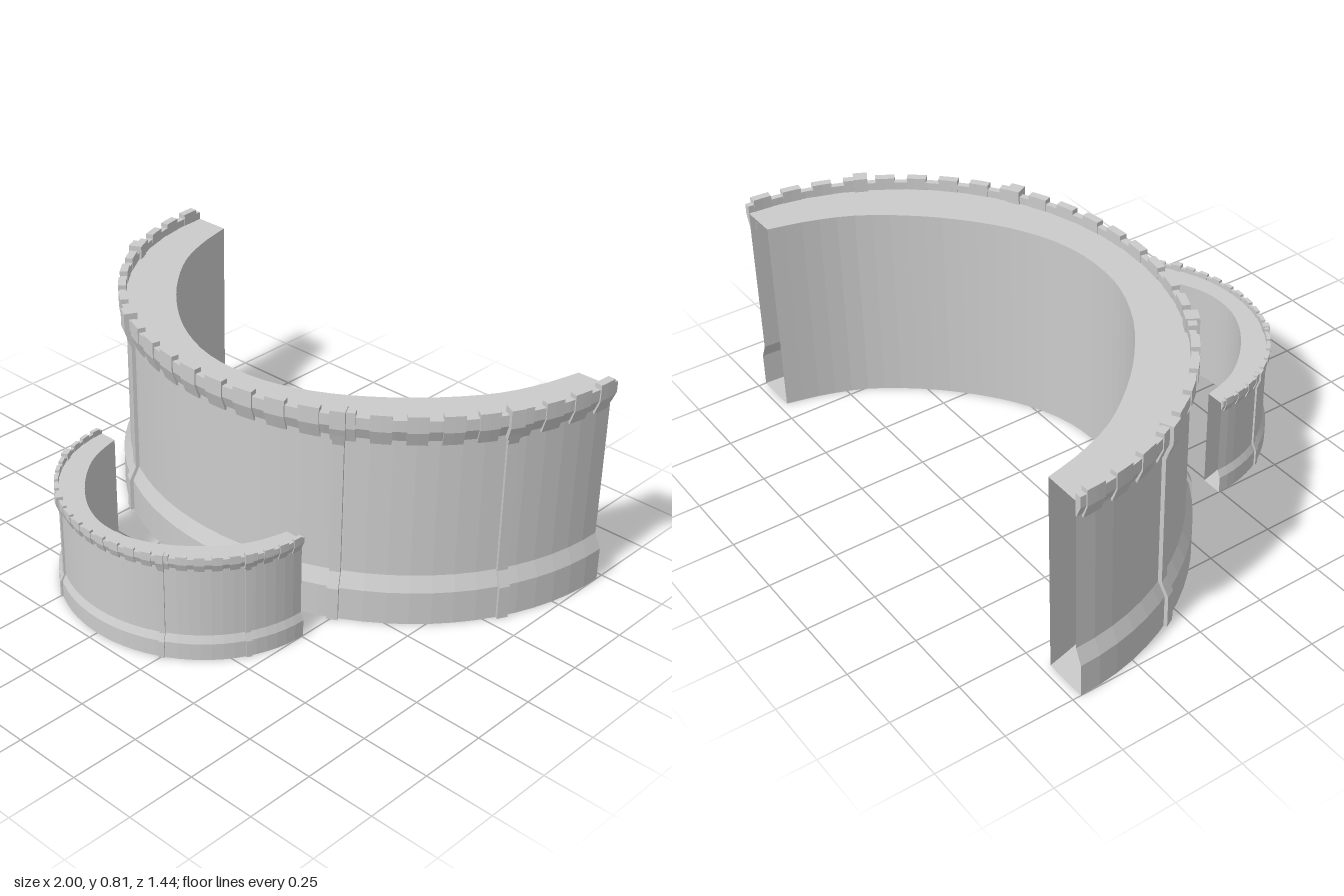
import * as THREE from 'three';

const END_Z = -0.72, RX = 1, RZ = 0.945;
const material = new THREE.MeshStandardMaterial({ color: 0xcccccc, flatShading: true, side: THREE.DoubleSide });

// Point on the outer half ellipse at angle t, pushed out along its normal by off
function outerPoint(t, off, y) {
  const n = new THREE.Vector2(Math.cos(t) / RX, Math.sin(t) / RZ).normalize();
  return new THREE.Vector3(RX * Math.cos(t) + n.x * off, y, END_Z + RZ * Math.sin(t) + n.y * off);
}

// Joins closed cross-section rings into a surface; capTris closes both ends
function loft(name, rings, capTris = []) {
  const pos = [];
  const tri = (a, b, c) => pos.push(...a, ...b, ...c);
  for (let i = 0; i < rings.length - 1; i++) {
    const r = rings[i], s = rings[i + 1];
    for (let j = 0; j < r.length; j++) {
      const k = (j + 1) % r.length;
      tri(r[j], r[k], s[k]);
      tri(r[j], s[k], s[j]);
    }
  }
  const first = rings[0], last = rings[rings.length - 1];
  for (const [a, b, c] of capTris) {
    tri(first[a], first[c], first[b]);
    tri(last[a], last[b], last[c]);
  }
  const geo = new THREE.BufferGeometry();
  geo.setAttribute('position', new THREE.Float32BufferAttribute(pos, 3));
  geo.computeVertexNormals();
  const mesh = new THREE.Mesh(geo, material);
  mesh.name = name;
  return mesh;
}

// Sweeps an [offset, height] profile along the outer curve from t0 to t1
function sweep(name, profile, t0, t1, segments) {
  const rings = [];
  for (let i = 0; i <= segments; i++) {
    const t = t0 + (t1 - t0) * i / segments;
    rings.push(profile.map(([off, y]) => outerPoint(t, off, y)));
  }
  const caps = THREE.ShapeUtils.triangulateShape(profile.map(([x, y]) => new THREE.Vector2(x, y)), []);
  return loft(name, rings, caps);
}

function createWall(name) {
  const wall = new THREE.Group();
  wall.name = name;

  // Hollow curved body with open ends, flared foot and flat walkway
  const half = [[0.84, -0.72], [0.805, -0.58], [0.743, -0.43], [0.63, -0.275],
    [0.5, -0.145], [0.337, -0.027], [0.16, 0.048]];
  const path = [...half, [0, 0.067], ...half.map(([x, z]) => [-x, z]).reverse()];
  const inner = new THREE.CatmullRomCurve3(path.map(([x, z]) => new THREE.Vector3(x, 0, z)));
  const face = [[0, 0], [0, 0.125], [-0.025, 0.18], [-0.025, 0.755]];
  const rings = [], N = 40;
  for (let i = 0; i <= N; i++) {
    const p = inner.getPointAt(i / N);
    rings.push([p, ...face.map(([off, y]) => outerPoint(Math.PI * i / N, off, y)),
      new THREE.Vector3(p.x, 0.755, p.z)]);
  }
  wall.add(loft('wallBody', rings));

  // Continuous parapet band
  wall.add(sweep('parapet',
    [[-0.027, 0.7], [-0.022, 0.7], [-0.004, 0.742], [-0.004, 0.783], [-0.027, 0.783]], 0, Math.PI, N));

  // Merlons with corbels reaching below the band
  const count = 26, step = Math.PI / count;
  const merlon = [[-0.029, 0.685], [-0.02, 0.685], [0, 0.74], [0, 0.8], [-0.029, 0.8]];
  for (let i = 0; i < count; i++) {
    wall.add(sweep('merlon', merlon, (i + 0.2) * step, (i + 0.8) * step, 2));
  }

  // Vertical ribs following the wall profile, each with a wider head
  const rib = [[-0.035, 0], [0.012, 0], [0.012, 0.125], [-0.012, 0.18], [-0.012, 0.67],
    [0.01, 0.735], [0.01, 0.8], [-0.035, 0.8]];
  const head = [[-0.035, 0.69], [-0.006, 0.69], [0.013, 0.74], [0.013, 0.806], [-0.035, 0.806]];
  const angle = Math.acos(0.9);
  for (const t of [angle, Math.PI / 3, Math.PI * 2 / 3, Math.PI - angle]) {
    wall.add(sweep('rib', rib, t - 0.02, t + 0.02, 1));
    wall.add(sweep('ribHead', head, t - 0.026, t + 0.026, 1));
  }
  return wall;
}

export function createModel() {
  const model = new THREE.Group();
  model.name = 'curvedRamparts';
  model.add(createWall('largeWall'));

  // Half-size wall standing in front
  const small = createWall('smallWall');
  small.scale.setScalar(0.5);
  small.position.z = 0.603;
  model.add(small);
  return model;
}
